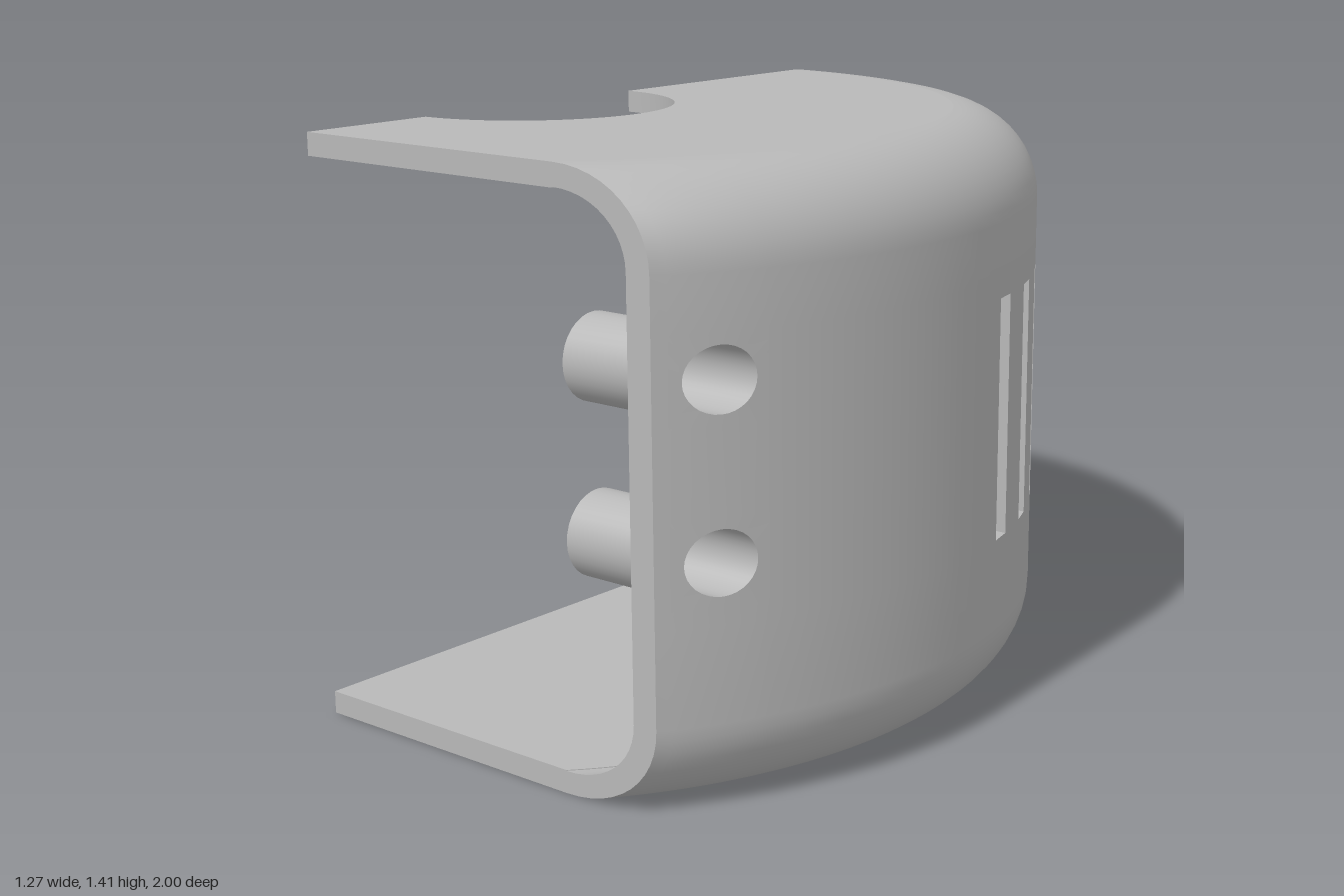
import * as THREE from 'three';
import { toCreasedNormals } from 'three/addons/utils/BufferGeometryUtils.js';

const CX = -0.637, CZ = 0.275;          // axis of the round housing
const R_OUT = 1.275, R_IN = 1.222;      // wall radii
const HEIGHT = 1.415, SKIN = 0.055;     // overall height, plate thickness
const FILLET = 0.212, R_FLAT = R_OUT - FILLET;
const FRONT = 1, Z_SPLIT = -0.5;
const SLOTS = [[-0.425, -0.355], [-0.245, -0.18], [-0.065, 0]];
const SLOT_Y = [0.435, 1.025];
const HOLE_Z = 0.87, HOLE_Y = [0.575, 0.975], HOLE_R = 0.075, BOSS_R = 0.1;

// Collects quads into a creased, smooth-shaded mesh
function quadMesh(name, material, build) {
  const pos = [];
  build((a, b, c, d, flip = false) => {
    const order = flip ? [a, c, b, a, d, c] : [a, b, c, a, c, d];
    for (const p of order) pos.push(...p);
  });
  const geo = new THREE.BufferGeometry();
  geo.setAttribute('position', new THREE.Float32BufferAttribute(pos, 3));
  const mesh = new THREE.Mesh(toCreasedNormals(geo, 0.5), material);
  mesh.name = name;
  return mesh;
}

// Point on a cylinder of radius r at a given z
const onWall = (r, z, y) => [CX + Math.sqrt(r * r - (z - CZ) ** 2), y, z];

// Columns: even angles round the back, then fixed z positions to the front cut
const columns = [];
for (let i = 0; i < 24; i++) columns.push({ t: i / 24 });
for (const z of [Z_SPLIT, -0.425, -0.355, -0.3, -0.245, -0.18, -0.12, -0.065]) columns.push({ z });
for (let i = 0; i < 12; i++) columns.push({ z: i * 0.77 / 12 });
for (let i = 0; i <= 8; i++) columns.push({ z: 0.77 + i * 0.025 });
columns.push({ z: FRONT });
const LAST = columns.length - 1;

function columnPoint(r, y, { t, z }) {
  if (t === undefined) return onWall(r, z, y);
  const phi = t * Math.acos((CZ - Z_SPLIT) / r);
  return [CX + r * Math.sin(phi), y, CZ - r * Math.cos(phi)];
}

// Vertical section of one skin: bottom fillet, wall, top fillet
function profile(f) {
  const rows = [], N = 12;
  for (let i = 0; i <= N; i++) {
    const a = (i / N - 1) * Math.PI / 2;
    rows.push([R_FLAT + f * Math.cos(a), FILLET + f * Math.sin(a)]);
  }
  for (const y of [0.435, 0.475, 0.675, 0.875, 1.025, 1.075]) rows.push([R_FLAT + f, y]);
  for (let i = 0; i <= N; i++) {
    const a = i / N * Math.PI / 2;
    rows.push([R_FLAT + f * Math.cos(a), HEIGHT - FILLET + f * Math.sin(a)]);
  }
  return rows;
}

const isOpen = (z, y) =>
  (y > SLOT_Y[0] && y < SLOT_Y[1] && SLOTS.some(([a, b]) => z > a && z < b)) ||
  (Math.abs(z - HOLE_Z) < BOSS_R && HOLE_Y.some(h => Math.abs(y - h) < BOSS_R));

const SEG = 32;
const circle = (i, r) => {
  const a = i / SEG * Math.PI * 2;
  return [r * Math.cos(a), r * Math.sin(a)];
};
// Matching point on the square patch round a screw hole
function square(i) {
  const s = ((i + 4) % SEG) / 8, side = Math.floor(s), f = (s - side) * 2 - 1;
  const [c, n] = [[1, 0], [0, 1], [-1, 0], [0, -1]][side];
  return [BOSS_R * (c - f * n), BOSS_R * (n + f * c)];
}

function skin(quad, f, flip) {
  const grid = profile(f).map(([r, y]) => columns.map(c => columnPoint(r, y, c)));
  for (let i = 0; i < grid.length - 1; i++) {
    for (let j = 0; j < LAST; j++) {
      const a = grid[i][j], c = grid[i + 1][j + 1];
      if (isOpen((a[2] + c[2]) / 2, (a[1] + c[1]) / 2)) continue;
      quad(a, grid[i + 1][j], c, grid[i][j + 1], flip);
    }
  }
  // wall patches round the screw holes
  for (const hy of HOLE_Y) {
    const at = ([z, y]) => onWall(R_FLAT + f, HOLE_Z + z, hy + y);
    for (let i = 0; i < SEG; i++) {
      quad(at(circle(i, HOLE_R)), at(circle(i + 1, HOLE_R)), at(square(i + 1)), at(square(i)), flip);
    }
  }
  return grid;
}

// Flat plate inside the fillet, optionally with the half-round opening
function plate(name, material, topY, opening) {
  const shape = new THREE.Shape();
  columns.forEach((c, j) => {
    const p = columnPoint(R_FLAT, 0, c);
    if (j) shape.lineTo(p[0], p[2]); else shape.moveTo(p[0], p[2]);
  });
  shape.lineTo(CX, FRONT);
  if (opening) {
    shape.lineTo(CX, CZ + 0.36);
    shape.absarc(CX, CZ, 0.36, Math.PI / 2, -Math.PI / 2, true);
  }
  const geo = new THREE.ExtrudeGeometry(shape, { depth: SKIN, bevelEnabled: false, curveSegments: 40 });
  geo.rotateX(Math.PI / 2).translate(0, topY, 0);
  const mesh = new THREE.Mesh(toCreasedNormals(geo, 0.5), material);
  mesh.name = name;
  return mesh;
}

export function createModel() {
  const grey = new THREE.MeshStandardMaterial({ color: 0xb8b8b8, side: THREE.DoubleSide });
  grey.name = 'grey plastic';
  const group = new THREE.Group();
  group.name = 'housing';

  // Curved wall with rounded edges and its two cut faces
  group.add(quadMesh('curvedWall', grey, quad => {
    const out = skin(quad, FILLET, false);
    const inn = skin(quad, R_IN - R_FLAT, true);
    for (let i = 0; i < out.length - 1; i++) {
      for (const j of [0, LAST]) quad(out[i][j], out[i + 1][j], inn[i + 1][j], inn[i][j], j === 0);
    }
  }));

  group.add(plate('topPlate', grey, HEIGHT, true));
  group.add(plate('bottomPlate', grey, SKIN, false));

  // Sides of the vent slots
  SLOTS.forEach(([z0, z1], k) => group.add(quadMesh(`ventSlot${k + 1}`, grey, quad => {
    const [y0, y1] = SLOT_Y;
    const c = [[z0, y0], [z0, y1], [z1, y1], [z1, y0]];
    c.forEach((a, i) => {
      const b = c[(i + 1) % 4];
      quad(onWall(R_OUT, ...a), onWall(R_OUT, ...b), onWall(R_IN, ...b), onWall(R_IN, ...a));
    });
  })));

  // Screw bosses: counterbore, through bore, end face, outer barrel
  HOLE_Y.forEach((hy, k) => group.add(quadMesh(`screwBoss${k + 1}`, grey, quad => {
    const rings = [
      { r: HOLE_R, wall: R_OUT }, { r: HOLE_R, x: 0.19 }, { r: 0.04, x: 0.19 },
      { r: 0.04, x: 0.13 }, { r: BOSS_R, x: 0.13 }, { r: BOSS_R, wall: R_IN + 0.015 },
    ];
    const at = ({ r, x, wall }, i) => {
      const [z, y] = circle(i, r);
      return wall ? onWall(wall, HOLE_Z + z, hy + y) : [x, hy + y, HOLE_Z + z];
    };
    for (let n = 0; n < rings.length - 1; n++) {
      const A = rings[n], B = rings[n + 1];
      for (let i = 0; i < SEG; i++) quad(at(A, i), at(B, i), at(B, i + 1), at(A, i + 1));
    }
  })));

  return group;
}
